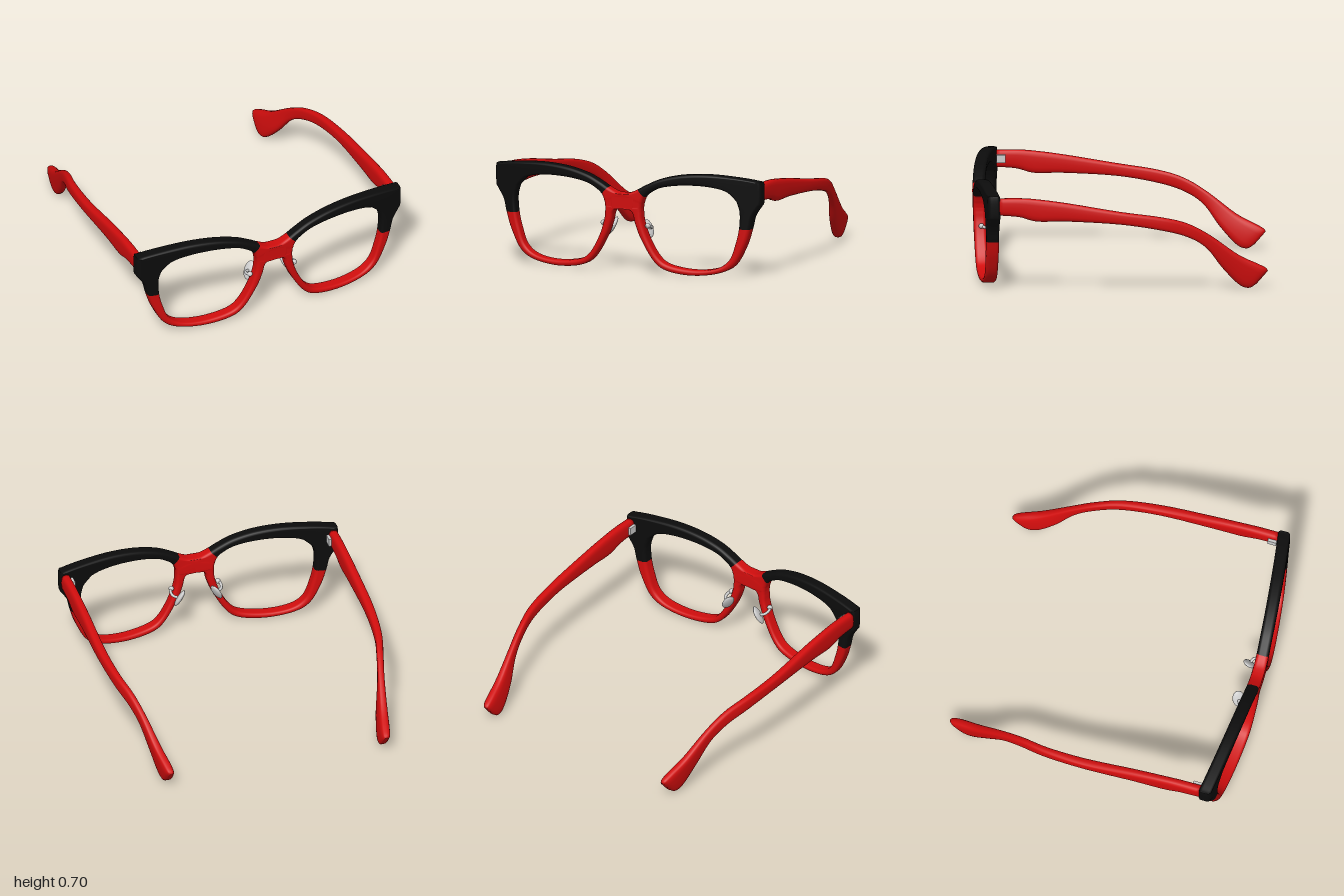
import * as THREE from 'three';

const red = new THREE.MeshStandardMaterial({ color: 0xd00d0d });
red.name = 'red acetate';
const black = new THREE.MeshStandardMaterial({ color: 0x0c0c0c });
black.name = 'black acetate';
const grey = new THREE.MeshStandardMaterial({ color: 0xcccccc });
grey.name = 'pale grey';

const v3 = (x, y, z = 0) => new THREE.Vector3(x, y, z);

// Skins a list of equal-length point rings, closing into a loop or capping both ends.
function loft(rings, closed) {
  const n = rings[0].length, m = rings.length;
  const pts = rings.flat();
  const index = [];
  for (let i = 0; i < (closed ? m : m - 1); i++) {
    for (let j = 0; j < n; j++) {
      const a = i * n + j, b = i * n + (j + 1) % n;
      const c = ((i + 1) % m) * n + j, d = ((i + 1) % m) * n + (j + 1) % n;
      index.push(a, b, d, a, d, c);
    }
  }
  if (!closed) {
    for (const end of [0, m - 1]) {
      const centre = rings[end].reduce((s, p) => s.add(p), v3(0, 0)).divideScalar(n);
      const k = pts.push(centre) - 1;
      for (let j = 0; j < n; j++) {
        const a = end * n + j, b = end * n + (j + 1) % n;
        index.push(...(end ? [a, b, k] : [b, a, k]));
      }
    }
  }
  // Turn all faces outward, whichever side is being built
  let volume = 0;
  for (let i = 0; i < index.length; i += 3) {
    volume += pts[index[i]].dot(v3(0, 0).crossVectors(pts[index[i + 1]], pts[index[i + 2]]));
  }
  if (volume < 0) {
    for (let i = 0; i < index.length; i += 3) {
      [index[i + 1], index[i + 2]] = [index[i + 2], index[i + 1]];
    }
  }
  const geo = new THREE.BufferGeometry().setFromPoints(pts);
  geo.setIndex(index);
  geo.computeVertexNormals();
  return geo;
}

function addMesh(parent, name, geo, mat) {
  const mesh = new THREE.Mesh(geo, mat);
  mesh.name = name;
  parent.add(mesh);
  return mesh;
}

// Rim stations: lens edge x, y and outer edge x, y, from the bridge seam over the brow
const RIM = [
  [0.158, 0.525, 0.11, 0.577], [0.19, 0.555, 0.17, 0.61], [0.27, 0.595, 0.27, 0.655],
  [0.40, 0.618, 0.42, 0.69], [0.55, 0.623, 0.60, 0.703], [0.67, 0.612, 0.80, 0.692],
  [0.735, 0.594, 0.955, 0.672], [0.755, 0.582, 0.982, 0.655], [0.795, 0.545, 0.982, 0.53],
  [0.812, 0.52, 0.968, 0.50], [0.83, 0.45, 0.925, 0.43], [0.824, 0.342, 0.903, 0.342],
  [0.80, 0.24, 0.865, 0.225], [0.755, 0.126, 0.79, 0.09], [0.667, 0.063, 0.68, 0.03],
  [0.51, 0.042, 0.50, 0.005], [0.335, 0.065, 0.325, 0.025], [0.25, 0.12, 0.225, 0.085],
  [0.18, 0.24, 0.13, 0.235], [0.142, 0.35, 0.088, 0.34], [0.134, 0.41, 0.072, 0.405],
  [0.133, 0.435, 0.04, 0.433], [0.133, 0.445, -0.02, 0.435], [0.134, 0.455, -0.09, 0.44],
  [0.137, 0.475, -0.09, 0.535], [0.142, 0.49, -0.02, 0.543], [0.147, 0.505, 0.045, 0.548],
];
const LOWER_SEAM = 11, STEPS = 6, DEPTH = 0.084;

// Front face curves back towards the temples and leans slightly
const frontZ = (x, y) => 0.992 - 0.1 * Math.abs(x / 0.98) ** 1.5 - 0.02 * (0.6 - y);

function rimGeometry(s) {
  const inner = new THREE.CatmullRomCurve3(RIM.map(r => v3(r[0], r[1])), true, 'catmullrom', 0.5);
  const outer = new THREE.CatmullRomCurve3(RIM.map(r => v3(r[2], r[3])), true, 'catmullrom', 0.5);
  const count = RIM.length * STEPS, rings = [];
  for (let i = 0; i < count; i++) {
    const a = inner.getPoint(i / count), b = outer.getPoint(i / count);
    const w = a.distanceTo(b), r = Math.min(0.022, w * 0.45), ring = [];
    // Rounded rectangle across the rim
    for (let c = 0; c < 4; c++) {
      const u0 = c === 0 || c === 3 ? w - r : r;
      const t0 = c < 2 ? r : DEPTH - r;
      for (let k = 0; k <= 4; k++) {
        const ang = (c + k / 4) * Math.PI / 2;
        const p = a.clone().lerp(b, (u0 + r * Math.cos(ang)) / w);
        const depth = t0 - r * Math.sin(ang);
        ring.push(v3(s * p.x, p.y, frontZ(p.x, p.y) - depth));
      }
    }
    rings.push(ring);
  }
  const geo = loft(rings, true);
  const split = LOWER_SEAM * STEPS * rings[0].length * 6;
  geo.addGroup(0, split, 0);
  geo.addGroup(split, geo.index.count - split, 1);
  return geo;
}

// Temple stations: top edge z, y, bottom edge z, y, centre x, half thickness
const TEMPLE = [
  [0.82, 0.652, 0.82, 0.536, 0.947, 0.032], [0.68, 0.653, 0.68, 0.524, 0.947, 0.032],
  [0.56, 0.645, 0.56, 0.493, 0.947, 0.032], [0.354, 0.617, 0.354, 0.493, 0.947, 0.032],
  [0, 0.557, 0, 0.472, 0.947, 0.031], [-0.27, 0.517, -0.28, 0.426, 0.924, 0.027],
  [-0.45, 0.468, -0.46, 0.372, 0.882, 0.025], [-0.61, 0.378, -0.585, 0.29, 0.843, 0.025],
  [-0.80, 0.238, -0.69, 0.15, 0.802, 0.033], [-0.93, 0.172, -0.80, 0.032, 0.775, 0.037],
  [-0.985, 0.142, -0.87, 0.004, 0.765, 0.032], [-1.0, 0.122, -0.92, 0.03, 0.760, 0.017],
];

function templeGeometry(s) {
  const curve = (a, b, c) => new THREE.CatmullRomCurve3(
    TEMPLE.map(t => v3(t[a], t[b], c < 0 ? 0 : t[c])), false, 'catmullrom', 0.5);
  const top = curve(0, 1, 4), bottom = curve(2, 3, 5);
  const count = (TEMPLE.length - 1) * 5, rings = [];
  for (let i = 0; i <= count; i++) {
    const a = top.getPoint(i / count), b = bottom.getPoint(i / count), ring = [];
    for (let k = 0; k < 20; k++) {
      const ang = k / 20 * Math.PI * 2, c = Math.cos(ang), d = Math.sin(ang);
      const f = 0.5 - 0.5 * Math.sign(c) * Math.abs(c) ** 0.65;
      const x = a.z + b.z * Math.sign(d) * Math.abs(d) ** 0.65;
      ring.push(v3(s * x, a.y + (b.y - a.y) * f, a.x + (b.x - a.x) * f));
    }
    rings.push(ring);
  }
  return loft(rings, false);
}

export function createModel() {
  const model = new THREE.Group();
  model.name = 'eyeglasses';
  for (const s of [1, -1]) {
    const side = new THREE.Group();
    side.name = s > 0 ? 'leftSide' : 'rightSide';
    model.add(side);

    addMesh(side, 'rim', rimGeometry(s), [black, red]);
    addMesh(side, 'temple', templeGeometry(s), red);

    // Hinge block inside the corner
    const hinge = addMesh(side, 'hinge', new THREE.BoxGeometry(0.03, 0.055, 0.06), grey);
    hinge.position.set(s * 0.912, 0.595, 0.785);

    // Nose pad, leaning outward at the bottom
    const pad = addMesh(side, 'nosePad', new THREE.SphereGeometry(1, 24, 16), grey);
    pad.scale.set(0.018, 0.068, 0.042);
    pad.position.set(s * 0.13, 0.292, 0.848);
    pad.rotation.set(0, s * -0.5, s * 0.5, 'YZX');

    // Wire arm and its stud on the rim
    const arm = new THREE.CatmullRomCurve3([
      v3(s * 0.15, 0.325, 0.94), v3(s * 0.175, 0.32, 0.915),
      v3(s * 0.17, 0.305, 0.87), v3(s * 0.135, 0.295, 0.85)]);
    addMesh(side, 'padArm', new THREE.TubeGeometry(arm, 16, 0.01, 8), grey);
    const stud = addMesh(side, 'padStud', new THREE.SphereGeometry(0.018, 16, 12), grey);
    stud.position.set(s * 0.165, 0.325, 0.93);
  }
  return model;
}
